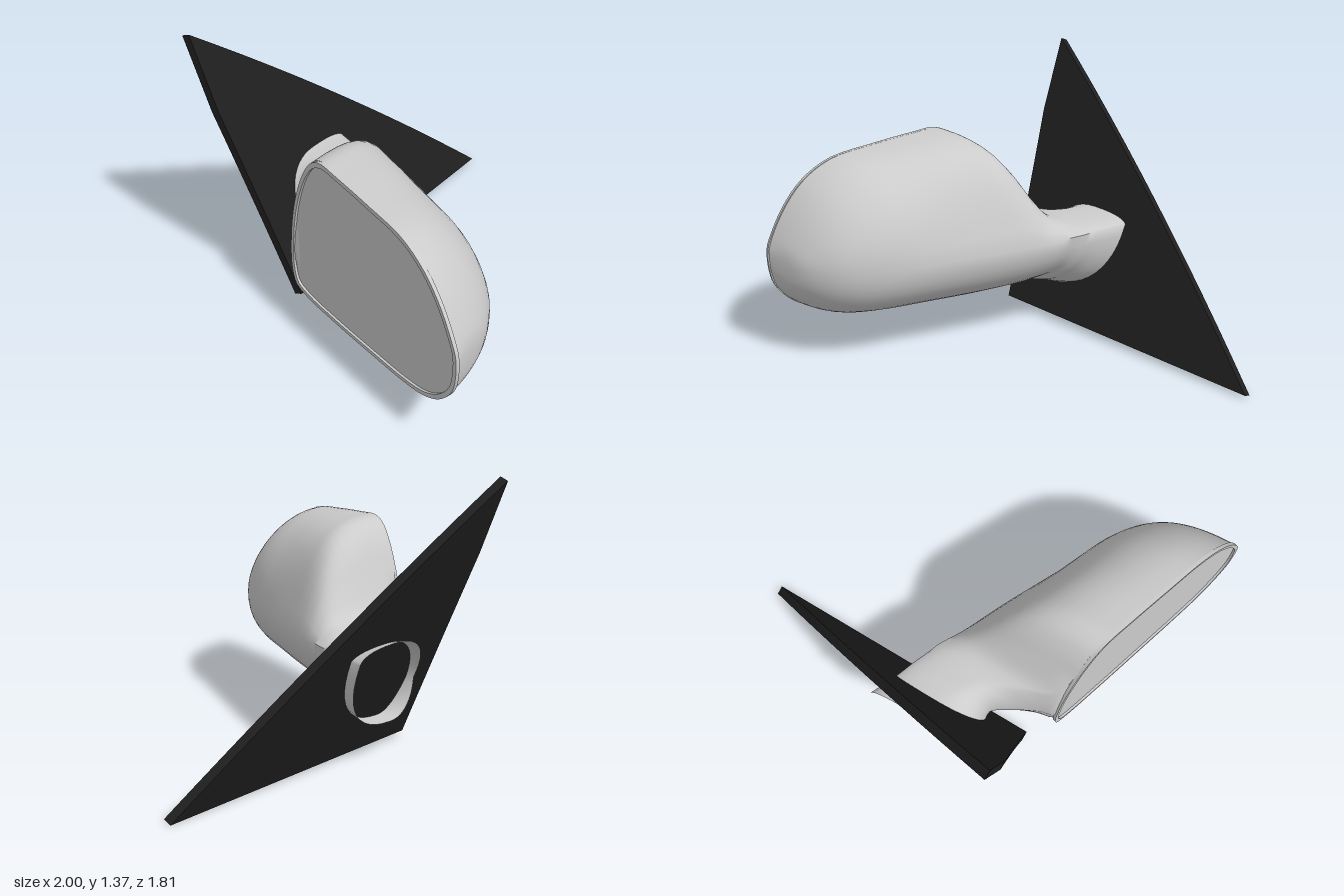
import * as THREE from 'three';
import { toCreasedNormals } from 'three/addons/utils/BufferGeometryUtils.js';

const V = (x, y, z) => new THREE.Vector3(x, y, z);
const grey = () => new THREE.MeshStandardMaterial({ color: 0xcccccc, side: THREE.DoubleSide });
const dark = () => new THREE.MeshStandardMaterial({ color: 0x1f1f1f });

// x of the glass opening for a given z
const openingX = (z) => -0.745 - 0.29 * z;
const LIP = 0.018;

// housing stations: z, front x, top y, bottom y
const HOUSING = [
  [0.89, -0.93, 0.6, 0.49],
  [0.868, -0.75, 0.665, 0.4],
  [0.79, -0.595, 0.81, 0.3],
  [0.69, -0.495, 0.925, 0.243],
  [0.55, -0.405, 1.005, 0.218],
  [0.33, -0.3, 1.036, 0.207],
  [0.1, -0.19, 1.056, 0.2],
  [-0.01, -0.14, 1.06, 0.2],
  [-0.08, -0.11, 1.025, 0.2],
  [-0.14, -0.085, 0.945, 0.203],
  [-0.2, -0.058, 0.815, 0.212],
];

// arm stations: top, front, bottom and back points
const ARM = [
  [V(-0.62, 0.69, -0.26), V(-0.03, 0.565, -0.26), V(-0.63, 0.22, -0.25), V(-0.655, 0.42, -0.28)],
  [V(-0.42, 0.63, -0.32), V(0, 0.57, -0.32), V(-0.5, 0.22, -0.28), V(-0.57, 0.4, -0.308)],
  [V(-0.28, 0.612, -0.38), V(0.02, 0.573, -0.38), V(-0.42, 0.222, -0.32), V(-0.45, 0.38, -0.37)],
  [V(-0.2, 0.61, -0.47), V(0.05, 0.576, -0.46), V(-0.32, 0.211, -0.375), V(-0.365, 0.38, -0.435)],
  [V(-0.14, 0.615, -0.58), V(0.09, 0.58, -0.58), V(-0.27, 0.2, -0.45), V(-0.37, 0.38, -0.49)],
  [V(-0.11, 0.642, -0.69), V(0.14, 0.59, -0.7), V(-0.26, 0.19, -0.55), V(-0.41, 0.38, -0.56)],
];

// place a unit quarter (d towards the side, c towards the top or bottom)
const place = (cap, side, d, c) =>
  V(cap.x + (side.x - cap.x) * d, side.y + (cap.y - side.y) * c, side.z + (cap.z - side.z) * c);

// superellipse quarter
const quarter = (cap, side, s, n) => place(cap, side,
  Math.pow(Math.sin(s * Math.PI / 2), 2 / n), Math.pow(Math.cos(s * Math.PI / 2), 2 / n));

// shoulder quarter: round at the outer end and on the arm, a sloping flank between
function shoulder(cap, side, s) {
  const r = Math.max(THREE.MathUtils.smoothstep(side.z, 0.1, 0.65),
    0.6 * THREE.MathUtils.smoothstep(-side.z, 0.2, 0.4));
  const curve = new THREE.CubicBezierCurve(
    new THREE.Vector2(0, 1), new THREE.Vector2(0.65 - 0.1 * r, 1),
    new THREE.Vector2(0.74 + 0.26 * r, 0.75 - 0.2 * r), new THREE.Vector2(1, 0));
  const p = curve.getPoint(s);
  return place(cap, side, p.x, p.y);
}

// one skin lofted over four rails: open housing flowing into the hollow arm
function shellGeometry() {
  const stations = HOUSING.map(([z, xf, yt, yb]) => {
    const x = openingX(z) + LIP;
    return [V(x, yt, z), V(xf, 0.55, z), V(x, yb, z), V(x, 0.45, z)];
  }).concat(ARM);
  const rails = [0, 1, 2, 3].map((k) => new THREE.CatmullRomCurve3(stations.map((s) => s[k])));
  const rows = (stations.length - 1) * 4, q = 12, n = q * 4;
  const openRows = (HOUSING.length - 1) * 4;
  const pos = [], index = [];
  for (let i = 0; i <= rows; i++) {
    const [top, front, bottom, back] = rails.map((r) => r.getPoint(i / rows));
    for (let j = 0; j < n; j++) {
      const s = (j % q) / q;
      const p = [
        () => shoulder(top, front, s),
        () => quarter(bottom, front, 1 - s, 2.2),
        () => quarter(bottom, back, s, 2.2),
        () => quarter(top, back, 1 - s, 2.2),
      ][Math.floor(j / q)]();
      pos.push(p.x, p.y, p.z);
    }
  }
  for (let i = 0; i < rows; i++) {
    const count = i < openRows ? q * 2 : n;
    for (let j = 0; j < count; j++) {
      const a = i * n + j, b = i * n + (j + 1) % n;
      index.push(a, b, a + n, b, b + n, a + n);
    }
  }
  // closed outer tip
  pos.push(openingX(0.89) + LIP, 0.545, 0.892);
  for (let j = 0; j < q * 2; j++) index.push(pos.length / 3 - 1, j + 1, j);
  const g = new THREE.BufferGeometry();
  g.setAttribute('position', new THREE.Float32BufferAttribute(pos, 3));
  g.setIndex(index);
  return toCreasedNormals(g, 1);
}

// outline of the opening, seen in its own plane
function openingOutline(scaleU = 1, scaleY = 1) {
  const top = HOUSING.map(([z, , yt]) => [z, yt]);
  const bottom = HOUSING.map(([z, , , yb]) => [z, yb]).reverse();
  const inner = [[-0.25, 0.65], [-0.282, 0.45], [-0.286, 0.32], [-0.26, 0.235]];
  const pts = [...top, ...inner, ...bottom].map(([z, y]) =>
    V((0.3 + (z - 0.3) * scaleU) / 0.96, 0.6 + (y - 0.6) * scaleY, 0));
  return new THREE.CatmullRomCurve3(pts, true).getPoints(96).slice(0, -1)
    .map((p) => new THREE.Vector2(p.x, p.y));
}

function mesh(name, geometry, material) {
  const m = new THREE.Mesh(geometry, material);
  m.name = name;
  return m;
}

export function createModel() {
  const model = new THREE.Group();
  model.name = 'wingMirror';
  model.add(mesh('housingAndArm', shellGeometry(), grey()));

  // lip and recessed glass
  const face = new THREE.Group();
  face.name = 'mirrorFace';
  const rim = new THREE.Shape(openingOutline());
  rim.holes.push(new THREE.Path(openingOutline(0.965, 0.95)));
  const rimGeo = new THREE.ExtrudeGeometry(rim, { depth: LIP, bevelEnabled: false });
  rimGeo.translate(0, 0, -LIP);
  face.add(mesh('rim', toCreasedNormals(rimGeo, 0.7), grey()));
  const glass = mesh('glass', new THREE.ShapeGeometry(new THREE.Shape(openingOutline(0.965, 0.95))), grey());
  glass.position.z = -0.012;
  face.add(glass);
  face.applyMatrix4(new THREE.Matrix4()
    .makeBasis(V(-0.2785, 0, 0.9604), V(0, 1, 0), V(-0.9604, 0, -0.2785))
    .setPosition(-0.745, 0, 0));
  model.add(face);

  // leaning triangular mounting plate, turned slightly back at its pointed end
  const outline = new THREE.Shape();
  outline.moveTo(-0.545, 0);
  outline.lineTo(1, -0.025);
  outline.quadraticCurveTo(0.21, 0.77, -0.62, 1.43);
  outline.lineTo(-0.62, 1.04);
  outline.quadraticCurveTo(-0.575, 0.5, -0.545, 0);
  const plate = mesh('mountingPlate', toCreasedNormals(
    new THREE.ExtrudeGeometry(outline, { depth: 0.045, bevelEnabled: false, curveSegments: 12 }), 0.5), dark());
  plate.applyMatrix4(new THREE.Matrix4()
    .makeBasis(V(1, 0, -0.012), V(0, 0.9314, -0.364), V(0.01, 0.364, 0.9314))
    .setPosition(0, 0.023, -0.393));
  model.add(plate);
  return model;
}
